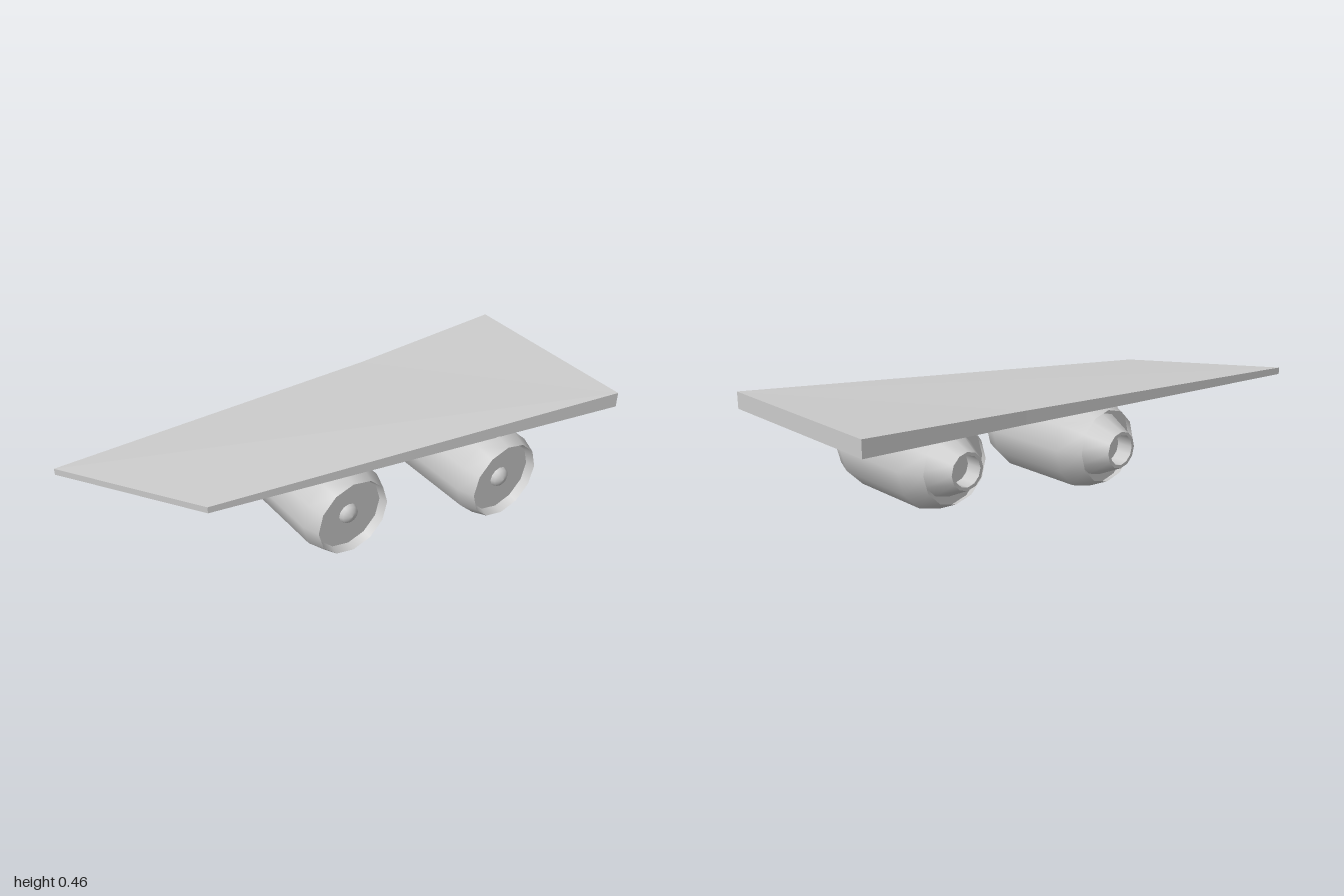
import * as THREE from 'three';

const material = new THREE.MeshStandardMaterial({ color: 0xcccccc, side: THREE.DoubleSide });
const SIDES = 12;

// Surface of revolution along x from [x, radius] pairs
function turned(name, profile) {
  const points = profile.map(([x, r]) => new THREE.Vector2(r, x));
  const geometry = new THREE.LatheGeometry(points, SIDES).rotateZ(-Math.PI / 2);
  const mesh = new THREE.Mesh(geometry, material);
  mesh.name = name;
  return mesh;
}

function createEngine(name, x, y, z) {
  const engine = new THREE.Group();
  engine.name = name;
  engine.add(
    turned('nacelle', [[-0.31, 0.145], [-0.215, 0.188], [0.15, 0.188], [0.22, 0.163]]),
    turned('intakeLip', [[0.22, 0.163], [0.185, 0.152]]),
    turned('fanDisc', [[0.185, 0.152], [0.185, 0]]),
    turned('spinner', [[0.185, 0.043], [0.2, 0.036], [0.211, 0.02], [0.215, 0]]),
    turned('rearBulkhead', [[-0.27, 0], [-0.27, 0.163]]),
    turned('nozzle', [[-0.38, 0.073], [-0.27, 0.125]]),
    turned('nozzleRim', [[-0.38, 0.06], [-0.38, 0.073]]),
    turned('nozzleBore', [[-0.31, 0.06], [-0.38, 0.06]]),
    turned('nozzlePlug', [[-0.31, 0], [-0.31, 0.06]])
  );
  engine.position.set(x, y, z);
  return engine;
}

// Tapered slab: each corner is [x, z, bottom, top], counter-clockwise from above
function createWing() {
  const corners = [
    [-0.485, 1, 0.36, 0.388],
    [0.05, 0.65, 0.36, 0.388],
    [0.483, -1, 0.395, 0.46],
    [-0.304, -1, 0.395, 0.46],
    [-0.347, -0.34, 0.381, 0.432]
  ];
  const low = corners.map(([x, z, b]) => [x, b, z]);
  const high = corners.map(([x, z, , t]) => [x, t, z]);
  const position = [];
  const triangle = (...v) => v.forEach((p) => position.push(...p));

  // Top and underside share the diagonal from tip to root
  for (const [a, b, c] of [[0, 1, 2], [0, 2, 4], [4, 2, 3]]) {
    triangle(high[a], high[b], high[c]);
    triangle(low[a], low[c], low[b]);
  }
  // Edge walls
  corners.forEach((_, i) => {
    const j = (i + 1) % corners.length;
    triangle(low[i], low[j], high[j]);
    triangle(low[i], high[j], high[i]);
  });

  const geometry = new THREE.BufferGeometry();
  geometry.setAttribute('position', new THREE.Float32BufferAttribute(position, 3));
  geometry.computeVertexNormals();
  const wing = new THREE.Mesh(geometry, material);
  wing.name = 'wing';
  return wing;
}

export function createModel() {
  const model = new THREE.Group();
  model.name = 'wingWithEngines';
  model.add(
    createWing(),
    createEngine('outerEngine', 0, 0.19, 0.124),
    createEngine('innerEngine', 0.185, 0.203, -0.486)
  );
  return model;
}
